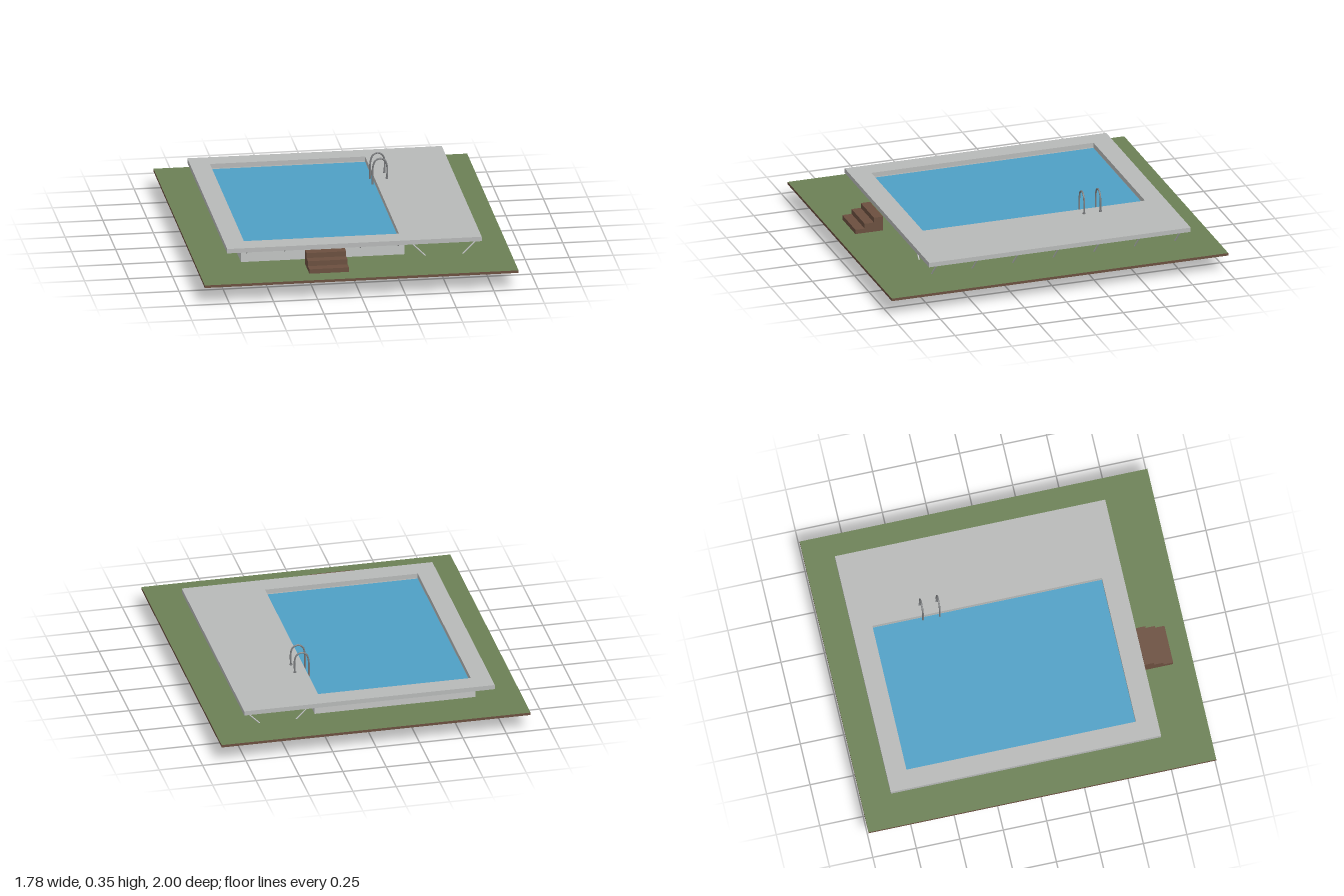
import * as THREE from 'three';

const mat = (name, color) => {
  const m = new THREE.MeshStandardMaterial({ color });
  m.name = name;
  return m;
};

export function createModel() {
  const deckGrey = mat('deckGrey', 0xb7b9b8);
  const wallGrey = mat('wallGrey', 0xc2c4c3);
  const grass = mat('grass', 0x6b8055);
  const brown = mat('earthAndWood', 0x6b4f3f);
  const waterBlue = mat('waterBlue', 0x4fa0c5);
  const floorBlue = mat('floorBlue', 0x2a69a0);
  const metal = mat('metal', 0x7c7e80);
  waterBlue.side = floorBlue.side = THREE.DoubleSide;

  const model = new THREE.Group();
  model.name = 'raisedPool';

  // Pool opening: [x0, x1, z0, z1]
  const pool = [-0.61, 0.27, -0.72, 0.6];
  const corners = ([x0, x1, z0, z1]) =>
    [[x0, -z1], [x1, -z1], [x1, -z0], [x0, -z0]].map(p => new THREE.Vector2(...p));

  const add = (name, geometry, material, parent = model) => {
    const mesh = new THREE.Mesh(geometry, material);
    mesh.name = name;
    parent.add(mesh);
    return mesh;
  };

  // Horizontal rectangular frame with the pool opening cut out
  const frame = (name, outer, y0, y1, material) => {
    const shape = new THREE.Shape(corners(outer));
    shape.holes.push(new THREE.Path(corners(pool)));
    const geo = new THREE.ExtrudeGeometry(shape, { depth: y1 - y0, bevelEnabled: false });
    geo.rotateX(-Math.PI / 2).translate(0, y0, 0);
    return add(name, geo, material);
  };

  // Flat sheet filling the pool opening
  const sheet = (name, y, material) => {
    const geo = new THREE.ShapeGeometry(new THREE.Shape(corners(pool)));
    geo.rotateX(-Math.PI / 2).translate(0, y, 0);
    return add(name, geo, material);
  };

  // Ground, pool shell and deck
  frame('soil', [-0.89, 0.89, -1, 1], 0.1, 0.112, brown);
  frame('lawn', [-0.89, 0.89, -1, 1], 0.112, 0.115, [grass, brown]);
  frame('poolWall', [-0.632, 0.295, -0.742, 0.637], 0.115, 0.2, wallGrey);
  frame('deck', [-0.722, 0.722, -0.835, 0.72], 0.2, 0.226, deckGrey);
  sheet('water', 0.195, waterBlue);
  sheet('poolFloor', 0, floorBlue);

  // Round bar between two points
  const bar = (name, a, b, r, material, parent) => {
    const p = new THREE.Vector3(...a), q = new THREE.Vector3(...b);
    const dir = q.clone().sub(p);
    const mesh = add(name, new THREE.CylinderGeometry(r, r, dir.length(), 8), material, parent);
    mesh.position.copy(p).add(q).multiplyScalar(0.5);
    mesh.quaternion.setFromUnitVectors(new THREE.Vector3(0, 1, 0), dir.normalize());
  };

  // Deck braces
  const braces = new THREE.Group();
  braces.name = 'deckBraces';
  model.add(braces);
  for (let i = 0; i < 5; i++) {
    const x = -0.6 + i * 0.215;
    bar('frontBrace', [x, 0.202, 0.69], [x, 0.168, 0.635], 0.004, wallGrey, braces);
    bar('backBrace', [x, 0.202, -0.8], [x, 0.168, -0.74], 0.004, wallGrey, braces);
  }
  for (let i = 0; i < 7; i++) {
    const z = 0.67 - i * 0.241;
    const zi = 0.59 - i * 0.217;
    bar('sideBrace', [-0.685, 0.202, zi], [-0.63, 0.168, zi], 0.004, wallGrey, braces);
    bar('innerDeckLeg', [0.32, 0.202, z], [0.41, 0.112, z], 0.004, wallGrey, braces);
    bar('outerDeckLeg', [0.71, 0.202, z], [0.62, 0.112, z], 0.004, wallGrey, braces);
  }

  // Wooden steps
  const steps = new THREE.Group();
  steps.name = 'steps';
  model.add(steps);
  for (let i = 0; i < 3; i++) {
    const h = 0.085 - i * 0.029;
    const step = add('step', new THREE.BoxGeometry(0.225, h, 0.055), brown, steps);
    step.position.set(-0.168, 0.114 + h / 2, 0.75 + i * 0.055);
  }

  // Pool ladder: two hooped rails joined by rungs
  const ladder = new THREE.Group();
  ladder.name = 'ladder';
  model.add(ladder);
  const path = [[0.337, 0.225], [0.339, 0.295], [0.328, 0.332], [0.299, 0.347], [0.27, 0.332],
    [0.258, 0.295], [0.256, 0.225], [0.253, 0.1], [0.254, 0.055], [0.268, 0.026]];
  const curve = z => new THREE.CatmullRomCurve3(path.map(([x, y]) => new THREE.Vector3(x, y, z)));
  for (const z of [-0.335, -0.432]) {
    add('ladderRail', new THREE.TubeGeometry(curve(z), 48, 0.005, 8), metal, ladder);
    const foot = add('ladderFoot', new THREE.CylinderGeometry(0.008, 0.008, 0.008, 12), metal, ladder);
    foot.position.set(0.337, 0.229, z);
    const tip = add('ladderTip', new THREE.SphereGeometry(0.006, 10, 8), metal, ladder);
    tip.position.set(0.268, 0.026, z);
  }
  for (const y of [0.078, 0.135]) {
    bar('ladderRung', [0.254, y, -0.335], [0.254, y, -0.432], 0.004, metal, ladder);
  }

  return model;
}
